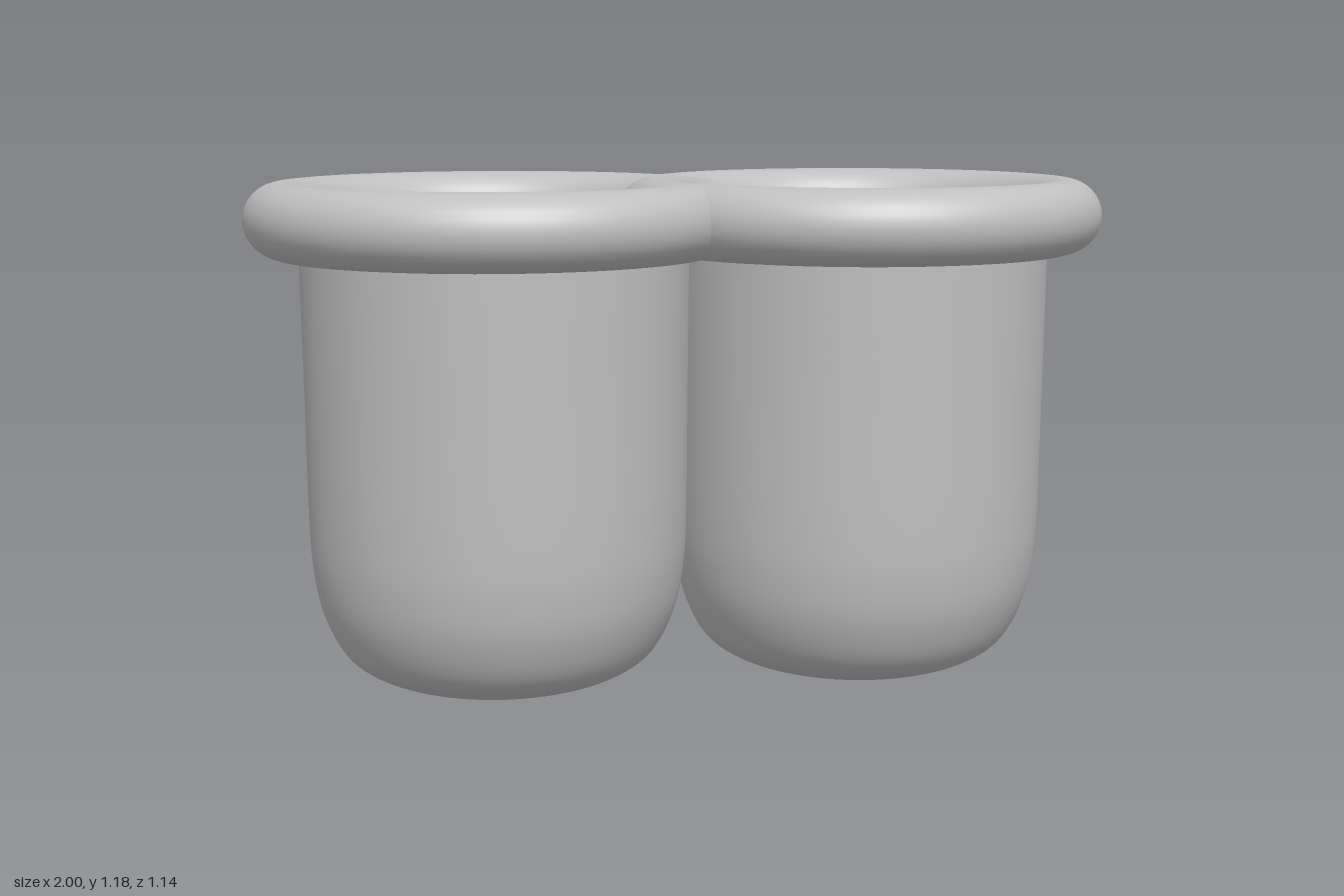
import * as THREE from 'three';

const CUP_X = 0.43; // distance of each cup axis from the centre

export function createModel() {
  const model = new THREE.Group();
  model.name = 'twinCups';

  const grey = new THREE.MeshStandardMaterial({ color: 0xbfbfbf, side: THREE.DoubleSide });
  grey.name = 'plain grey';

  // Cup wall: open shell with a softly rounded bottom
  const profile = new THREE.SplineCurve([
    [0, 0.003], [0.12, 0.007], [0.22, 0.02], [0.31, 0.051], [0.37, 0.1],
    [0.413, 0.19], [0.433, 0.29], [0.44, 0.42], [0.443, 0.7], [0.447, 1.0], [0.448, 1.1],
  ].map(([r, y]) => new THREE.Vector2(r, y))).getPoints(60);
  profile[0].x = 0;
  const cupGeometry = new THREE.LatheGeometry(profile, 96);

  // Thick round rim
  const rimGeometry = new THREE.TorusGeometry(0.485, 0.085, 32, 128);
  rimGeometry.rotateX(-Math.PI / 2);

  for (const [side, sign] of [['left', 1], ['right', -1]]) {
    const group = new THREE.Group();
    group.name = side + 'Cup';
    group.position.x = sign * CUP_X;

    const wall = new THREE.Mesh(cupGeometry, grey);
    wall.name = side + 'CupWall';

    const rim = new THREE.Mesh(rimGeometry, grey);
    rim.name = side + 'Rim';
    rim.position.y = 1.1;

    group.add(wall, rim);
    model.add(group);
  }
  return model;
}
